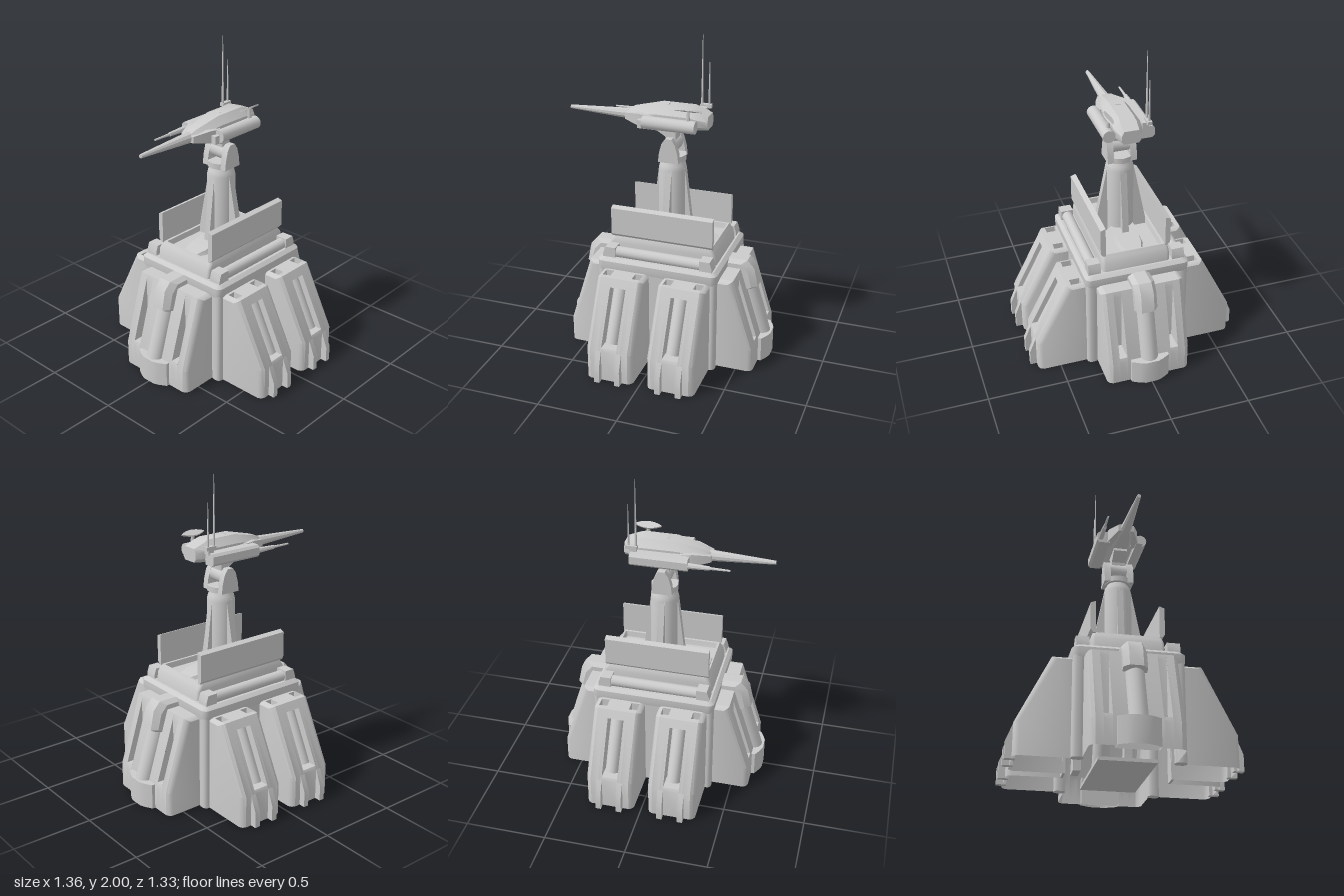
import * as THREE from 'three';
import { toCreasedNormals } from 'three/addons/utils/BufferGeometryUtils.js';

const mat = new THREE.MeshStandardMaterial({ color: 0xcccccc, side: THREE.DoubleSide });

function add(parent, name, geo, x = 0, y = 0, z = 0) {
  const m = new THREE.Mesh(geo, mat);
  m.name = name;
  m.position.set(x, y, z);
  parent.add(m);
  return m;
}

// Skin over equal-length loops [t, [[u, v], ...]] lying across z.
// A hollow skin leaves out the first edge (underside) and the last edge (inner wall).
function loft(sections, capStart = true, capEnd = true, hollow = false) {
  const pos = [];
  const put = (s, i) => pos.push(s[1][i][0], s[1][i][1], s[0]);
  const n = sections[0][1].length;
  for (let k = 0; k < sections.length - 1; k++) {
    const A = sections[k], B = sections[k + 1];
    for (let i = 0; i < n; i++) {
      const j = (i + 1) % n;
      if (hollow && (i === 0 || j === 0)) continue;
      put(A, i); put(A, j); put(B, j);
      put(A, i); put(B, j); put(B, i);
    }
  }
  const cap = (s, flip) => {
    const pts = s[1].map(p => new THREE.Vector2(p[0], p[1]));
    for (const [a, b, c] of THREE.ShapeUtils.triangulateShape(pts, [])) {
      put(s, a); put(s, flip ? c : b); put(s, flip ? b : c);
    }
  };
  if (capStart) cap(sections[0], true);
  if (capEnd) cap(sections[sections.length - 1], false);
  const g = new THREE.BufferGeometry();
  g.setAttribute('position', new THREE.Float32BufferAttribute(pos, 3));
  return toCreasedNormals(g, 0.6);
}

const prism = (pts, w0, w1) => loft([[w0, pts], [w1, pts]]);
const shell = (pts, w0, w1) => loft([[w0, pts], [w1, pts]], false, false, true);
const plate = (pts, w) => loft([[w, pts]], false, true);
const stack = (sections, bottom = true) => loft(sections, bottom).rotateX(-Math.PI / 2);
const inset = (pts, d) => pts.map(([a, y]) => [a > 0.4 ? a - d : a, y > 0.5 ? y - d * 0.6 : y]);

// The two closed ends of a shell of half-width w, rounded off towards the outside
function roundedEnds(pts, w, inner, depth) {
  const end = [[-w, inset(pts, depth)], [-w + (w - inner) * 0.35, inset(pts, depth * 0.35)], [-inner, pts]];
  const mirrored = end.map(([t, p]) => [-t, p]).reverse();
  return [loft(end, true, false, true), loft(mirrored, false, true, true)];
}

function roundRect(hx, hz, r) {
  const pts = [];
  [[1, 1], [-1, 1], [-1, -1], [1, -1]].forEach(([sx, sz], q) => {
    for (let i = 0; i <= 3; i++) {
      const a = (q + i / 3) * Math.PI / 2;
      pts.push([sx * (hx - r) + r * Math.cos(a), sz * (hz - r) + r * Math.sin(a)]);
    }
  });
  return pts;
}

function rod(parent, name, from, to, r0, r1, sides = 16) {
  const a = new THREE.Vector3(...from), b = new THREE.Vector3(...to);
  const d = b.clone().sub(a);
  const m = add(parent, name, toCreasedNormals(new THREE.CylinderGeometry(r1, r0, d.length(), sides), 0.6));
  m.position.copy(a).add(b).multiplyScalar(0.5);
  m.quaternion.setFromUnitVectors(new THREE.Vector3(0, 1, 0), d.normalize());
}

const box = (parent, name, w, h, d, x, y, z) => add(parent, name, new THREE.BoxGeometry(w, h, d), x, y, z);

// Side leg, a hollow shell pointing along +x
function sideLeg() {
  const g = new THREE.Group();
  g.name = 'sideLeg';
  const solid = [[0.31, 0], [0.64, 0], [0.64, 0.2], [0.44, 0.6], [0.31, 0.6]];
  const hole = [[0.41, 0.6], [0.41, 0.55], [0.345, 0.55], [0.345, 0.6]];
  const pocket = [...solid.slice(0, 4), ...hole, solid[4]];
  const groove = [[0.63, 0.22], [0.51, 0.22], [0.375, 0.52], [0.465, 0.55]];
  const slot = [...solid.slice(0, 3), ...groove, ...solid.slice(3)];
  for (const e of roundedEnds(solid, 0.149, 0.12, 0.03)) add(g, 'legEdge', e);
  for (const s of [-1, 1]) {
    add(g, 'legPocket', shell(pocket, s * 0.095 - 0.025, s * 0.095 + 0.025));
    for (const w of [0.07, 0.12]) add(g, 'pocketSide', plate(hole, s * w));
    add(g, 'legWall', shell(solid, s * 0.06 - 0.01, s * 0.06 + 0.01));
    add(g, 'grooveSide', plate(groove, s * 0.05));
    add(g, 'legFin', prism([[0.62, 0], [0.68, 0], [0.68, 0.1], [0.64, 0.2], [0.62, 0.2]], s * 0.065 - 0.017, s * 0.065 + 0.017));
  }
  add(g, 'legSlot', shell(slot, -0.05, 0.05));
  rod(g, 'legPiston', [0.572, 0.225, 0], [0.42, 0.53, 0], 0.041, 0.041);
  return g;
}

// Front or rear buttress, built along +x and turned into place
function buttress() {
  const g = new THREE.Group();
  g.name = 'buttress';
  const solid = [[0.36, 0], [0.605, 0], [0.605, 0.15], [0.465, 0.6], [0.36, 0.6]];
  const groove = [[0.596, 0.18], [0.475, 0.18], [0.475, 0.565]];
  const slot = [...solid.slice(0, 3), ...groove, ...solid.slice(3)];
  for (const e of roundedEnds(solid, 0.265, 0.235, 0.03)) add(g, 'buttressEdge', e);
  add(g, 'buttressCentre', shell(solid, -0.14, 0.14));
  for (const s of [-1, 1]) {
    add(g, 'buttressSlot', shell(slot, s * 0.165 - 0.025, s * 0.165 + 0.025));
    for (const w of [0.14, 0.19]) add(g, 'slotSide', plate(groove, s * w));
    add(g, 'buttressWall', shell(solid, s * 0.2125 - 0.0225, s * 0.2125 + 0.0225));
  }
  // Sloping piston between housing and foot
  const cover = [[0.36, 0.46], [0.535, 0.46], [0.57, 0.48], [0.545, 0.6], [0.5, 0.65], [0.36, 0.65]];
  add(g, 'pistonHousing', loft([[-0.07, inset(cover, 0.035)], [-0.04, cover], [0.04, cover], [0.07, inset(cover, 0.035)]]));
  rod(g, 'piston', [0.6, 0.13, 0], [0.485, 0.5, 0], 0.057, 0.057);
  const foot = [[0.56, -0.12], [0.625, -0.12], [0.65, -0.075], [0.663, -0.04], [0.663, 0.04], [0.65, 0.075],
    [0.625, 0.12], [0.56, 0.12]];
  add(g, 'pistonFoot', stack([[0, foot], [0.16, foot]], false));
  return g;
}

function turretHead() {
  const g = new THREE.Group();
  g.name = 'turretHead';
  const oct = (w, b, t, i) => [[-i, b], [i, b], [w, b + (t - b) * 0.25], [w, t - (t - b) * 0.35],
    [i, t], [-i, t], [-w, t - (t - b) * 0.35], [-w, b + (t - b) * 0.25]];
  add(g, 'headBody', loft([[-0.235, oct(0.06, 1.472, 1.555, 0.045)], [-0.17, oct(0.085, 1.465, 1.58, 0.05)],
    [-0.13, oct(0.088, 1.462, 1.595, 0.045)], [0.07, oct(0.085, 1.462, 1.595, 0.045)],
    [0.25, oct(0.058, 1.468, 1.553, 0.03)], [0.29, oct(0.03, 1.48, 1.53, 0.018)]]));
  rod(g, 'mainBarrel', [0, 1.507, 0.24], [0, 1.508, 0.665], 0.036, 0.012, 10);
  add(g, 'topRidge', new THREE.BoxGeometry(0.035, 0.02, 0.27).rotateX(0.23), 0, 1.558, 0.15);
  const slab = (x0, x1, h) => [[x0, 1.505 - h], [x1, 1.505 - h], [x1, 1.505 + h], [x0, 1.505 + h]];
  for (const s of [-1, 1]) {
    const cheek = loft([[0.1, slab(0.06, 0.088, 0.03)], [0.14, slab(0.06, 0.1, 0.035)],
      [0.19, slab(0.05, 0.09, 0.038)], [0.29, slab(0.025, 0.048, 0.02)]]);
    add(g, 'cheekPlate', cheek).scale.x = s;
  }
  // Side pods
  const pod = [[-0.16, 1.475], [-0.145, 1.46], [-0.08, 1.46], [-0.08, 1.535], [-0.145, 1.535], [-0.16, 1.52]];
  add(g, 'gunPod', prism(pod, -0.18, 0.17));
  rod(g, 'sideGun', [-0.137, 1.495, 0.16], [-0.137, 1.495, 0.3], 0.019, 0.013, 8);
  rod(g, 'sideGunTip', [-0.137, 1.495, 0.3], [-0.137, 1.495, 0.42], 0.009, 0.006, 8);
  rod(g, 'sensorPod', [0.118, 1.505, -0.18], [0.118, 1.505, 0.15], 0.039, 0.039);
  box(g, 'sensorPodRail', 0.04, 0.05, 0.3, 0.105, 1.49, 0.035);
  // Aerials
  box(g, 'aerialBase', 0.028, 0.022, 0.07, -0.12, 1.567, -0.172);
  box(g, 'aerialMount', 0.04, 0.04, 0.04, -0.1, 1.545, -0.165);
  rod(g, 'tallAerial', [-0.12, 1.57, -0.146], [-0.12, 2, -0.146], 0.008, 0.002, 6);
  rod(g, 'shortAerial', [-0.12, 1.57, -0.19], [-0.12, 1.84, -0.19], 0.007, 0.002, 6);
  // Lens-shaped scanner, tilted on its post
  const lens = new THREE.Shape();
  lens.moveTo(-0.085, 0);
  lens.quadraticCurveTo(0, -0.05, 0.085, 0);
  lens.quadraticCurveTo(0, 0.05, -0.085, 0);
  const scanner = new THREE.ExtrudeGeometry(lens, { depth: 0.01, bevelEnabled: false, curveSegments: 10 });
  scanner.rotateX(Math.PI / 2).rotateY(Math.PI / 2).rotateZ(0.5);
  add(g, 'scanner', scanner, 0.105, 1.607, -0.13);
  rod(g, 'scannerPost', [0.112, 1.52, -0.13], [0.108, 1.6, -0.13], 0.013, 0.01, 8);
  return g;
}

export function createModel() {
  const model = new THREE.Group();
  model.name = 'turretTower';

  // Core cap, base plate and the four sides
  add(model, 'coreCap', stack([[0.59, roundRect(0.328, 0.378, 0.03)], [0.615, roundRect(0.332, 0.382, 0.035)],
    [0.65, roundRect(0.332, 0.382, 0.035)], [0.67, roundRect(0.31, 0.36, 0.03)]], false));
  box(model, 'basePlate', 0.34, 0.02, 0.62, 0, 0.02, 0);
  const post = roundRect(0.036, 0.03, 0.025);
  for (const s of [-1, 1]) {
    for (const z of [-0.196, 0.193]) {
      const leg = sideLeg();
      leg.position.z = z;
      leg.rotation.y = s > 0 ? 0 : Math.PI;
      model.add(leg);
    }
    const b = buttress();
    b.rotation.y = -s * Math.PI / 2;
    model.add(b);
    box(model, 'coreSide', 0.015, 0.6, 0.1, s * 0.32, 0.3, 0);
    for (const e of [-1, 1]) add(model, 'corePost', stack([[0, post], [0.6, post]]), s * 0.291, 0, e * 0.348);
    // Deck rails with stops that slope down towards their outer ends
    rod(model, 'deckRail', [s * 0.268, 0.695, -0.28], [s * 0.268, 0.695, 0.28], 0.035, 0.035);
    const stop = [[0.27, 0.66], [0.35, 0.66], [0.35, 0.69], [0.335, 0.735], [0.27, 0.735]];
    for (const e of [-1, 1]) add(model, 'railStop', prism(stop, -0.039, 0.039), s * 0.268).rotation.y = -e * Math.PI / 2;
    const shield = [[0.19, 0.77], [0.205, 0.77], [0.222, 0.79], [0.222, 0.96], [0.19, 0.972]];
    add(model, 'sideShield', prism(shield, -0.325, 0.325)).scale.x = s;
  }

  // Deck, a shallow tray
  add(model, 'deck', stack([[0.66, roundRect(0.215, 0.35, 0.02)], [0.73, roundRect(0.215, 0.34, 0.02)],
    [0.755, roundRect(0.212, 0.325, 0.02)], [0.775, roundRect(0.205, 0.315, 0.02)],
    [0.775, roundRect(0.175, 0.305, 0.01)], [0.74, roundRect(0.168, 0.298, 0.01)]]));

  // Column with fins, and low ramps at its foot
  const column = [[0.087, 0.74], [0.087, 1.19], [0.08, 1.22], [0.065, 1.245], [0.062, 1.26]];
  add(model, 'column', toCreasedNormals(new THREE.LatheGeometry(column.map(p => new THREE.Vector2(...p)), 24), 0.5));
  for (let i = 0; i < 4; i++) {
    const reach = i % 2 ? 0.132 : 0.165;
    const fin = prism([[0.02, 0.74], [reach, 0.74], [reach, 0.79], [0.083, 1.2], [0.02, 1.2]], -0.02, 0.02);
    add(model, 'columnFin', fin).rotation.y = i * Math.PI / 2;
  }
  const slope = (w, top) => [[-w, 0.735], [w, 0.735], [w * 0.8, top], [-w * 0.8, top]];
  add(model, 'footRamp', loft([[-0.295, slope(0.055, 0.75)], [-0.22, slope(0.085, 0.765)], [-0.08, slope(0.09, 0.785)],
    [0.08, slope(0.09, 0.785)], [0.22, slope(0.085, 0.765)], [0.295, slope(0.055, 0.75)]]));

  // Fork and neck
  add(model, 'forkRing', new THREE.CylinderGeometry(0.085, 0.085, 0.036, 12), 0, 1.265, 0);
  const half = [[0.065, 1.25], [0.058, 1.31], [0.042, 1.37], [0.02, 1.402]];
  const cheek = [...half, ...half.map(([a, y]) => [-a, y]).reverse()];
  for (const x of [-0.072, 0.072]) {
    add(model, 'forkArm', prism(cheek, x - 0.02, x + 0.02)).rotation.y = -Math.PI / 2;
  }
  rod(model, 'hinge', [-0.052, 1.345, 0], [0.052, 1.345, 0], 0.048, 0.048);
  const neck = [[-0.03, 1.34], [0.03, 1.34], [0.035, 1.4], [0.11, 1.445], [0.1, 1.48], [-0.05, 1.48], [-0.03, 1.42]];
  add(model, 'neck', prism(neck, -0.042, 0.042)).rotation.y = -Math.PI / 2;

  model.add(turretHead());
  return model;
}
